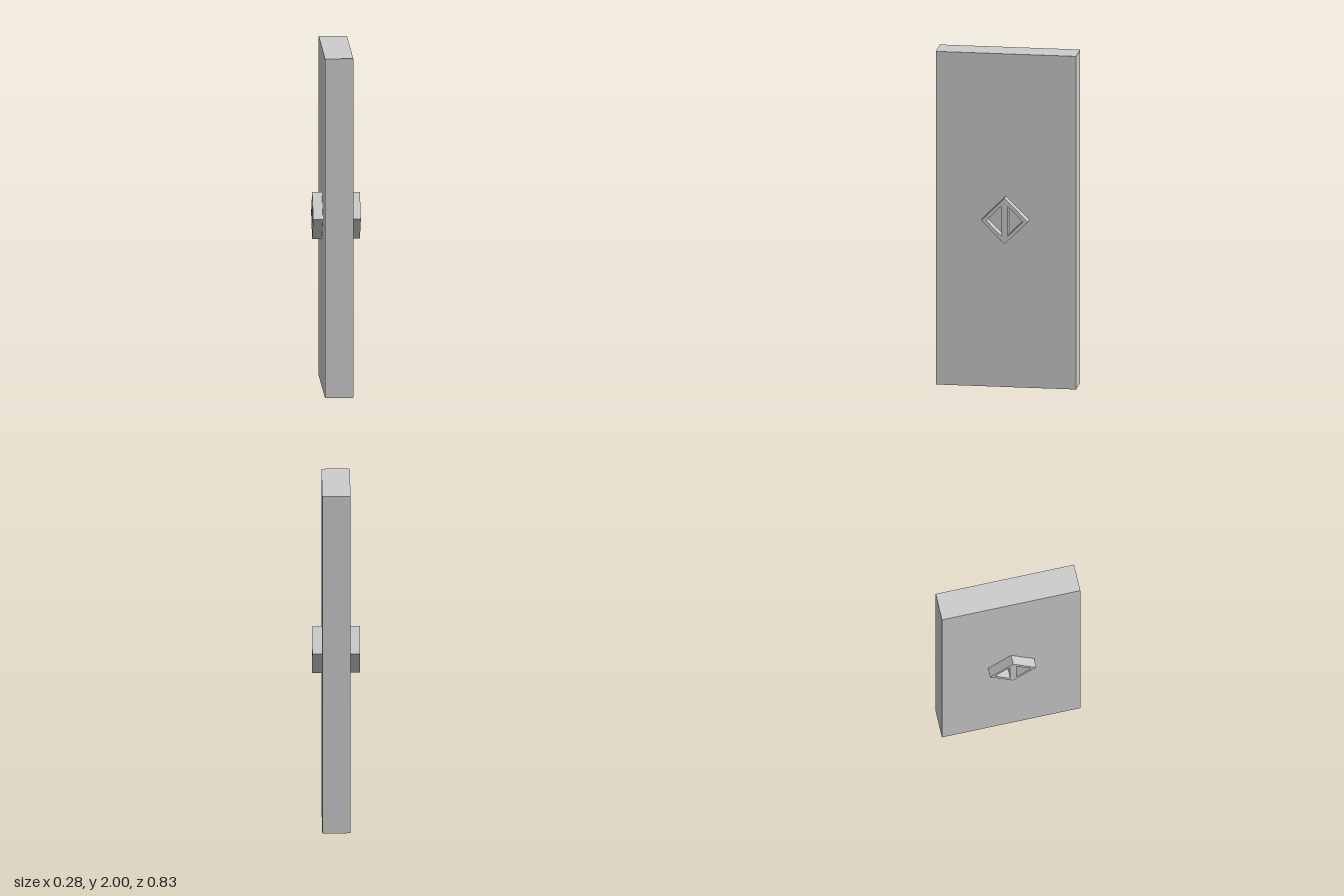
import * as THREE from 'three';

const polygon = (Type, points) => new Type(points.map(([x, y]) => new THREE.Vector2(x, y)));

export function createModel() {
  const model = new THREE.Group();
  const grey = new THREE.MeshStandardMaterial({ color: 0xcccccc });
  grey.name = 'light grey';

  // Upright slab
  const halfThickness = 0.0825;
  const slab = new THREE.Mesh(new THREE.BoxGeometry(halfThickness * 2, 2, 0.826), grey);
  slab.name = 'doorSlab';
  slab.position.y = 1;
  model.add(slab);

  // Diamond frame with a central upright bar between two triangular openings
  const outer = 0.138, inner = 0.108, bar = 0.018;
  const diamond = polygon(THREE.Shape, [[outer, 0], [0, outer], [-outer, 0], [0, -outer]]);
  for (const s of [-1, 1]) {
    diamond.holes.push(polygon(THREE.Path, [
      [s * bar, inner - bar], [s * inner, 0], [s * bar, bar - inner],
    ]));
  }
  const handleGeometry = new THREE.ExtrudeGeometry(diamond, {
    depth: 0.139 - halfThickness, bevelEnabled: false,
  });

  // One handle on each broad face
  for (const side of [-1, 1]) {
    const handle = new THREE.Mesh(handleGeometry, grey);
    handle.name = side > 0 ? 'leftHandle' : 'rightHandle';
    handle.position.set(side * halfThickness, 1.009, 0);
    handle.rotation.y = side * Math.PI / 2;
    model.add(handle);
  }
  return model;
}
